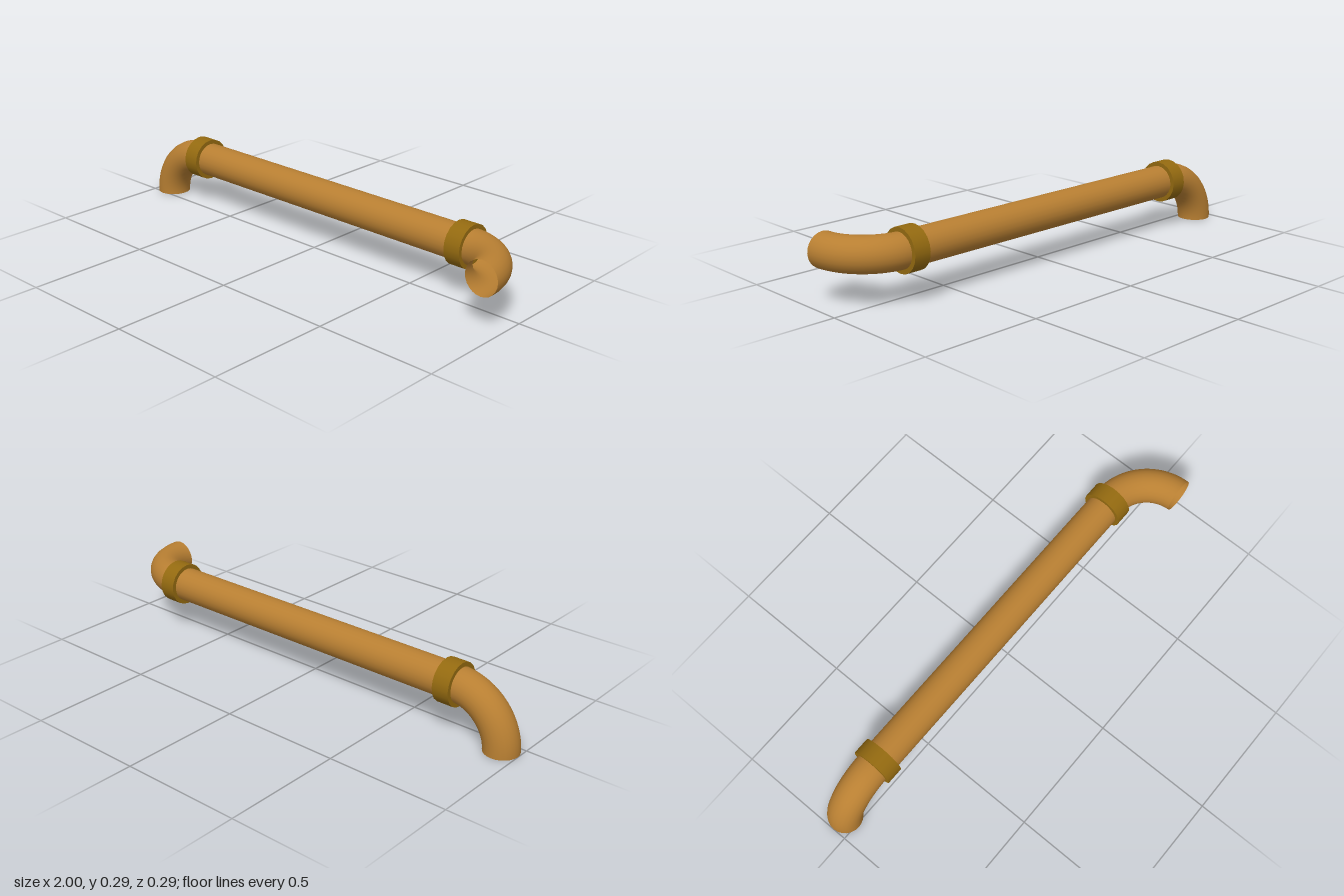
import * as THREE from 'three';

const R = 0.07;       // pipe radius
const BEND = 0.204;   // elbow centreline radius
const HALF = 0.726;   // half length of the straight run
const Y = 0.204, Z = -0.057;

export function createModel() {
  const group = new THREE.Group();
  const pipeMat = new THREE.MeshStandardMaterial({ color: 0xb87f32, side: THREE.DoubleSide });
  const collarMat = new THREE.MeshStandardMaterial({ color: 0x946a10 });

  const add = (name, geometry, material, x, y, z) => {
    const mesh = new THREE.Mesh(geometry, material);
    mesh.name = name;
    mesh.position.set(x, y, z);
    group.add(mesh);
    return mesh;
  };

  // straight run along x
  const run = new THREE.CylinderGeometry(R, R, HALF * 2, 24, 1, true).rotateZ(Math.PI / 2);
  add('straightPipe', run, pipeMat, 0, Y, Z);

  // open quarter-turn elbows: one down, one forward
  const elbow = () => new THREE.TorusGeometry(BEND, R, 24, 24, Math.PI / 2);
  add('downElbow', elbow().rotateZ(Math.PI / 2), pipeMat, -HALF, Y - BEND, Z);
  add('forwardElbow', elbow().rotateX(-Math.PI / 2), pipeMat, HALF, Y, Z + BEND);

  // joint collars
  for (const side of [-1, 1]) {
    const collar = new THREE.CylinderGeometry(0.0875, 0.0875, 0.07, 20).rotateZ(Math.PI / 2);
    add(side < 0 ? 'rightCollar' : 'leftCollar', collar, collarMat, side * 0.71, Y, Z);
  }
  return group;
}
